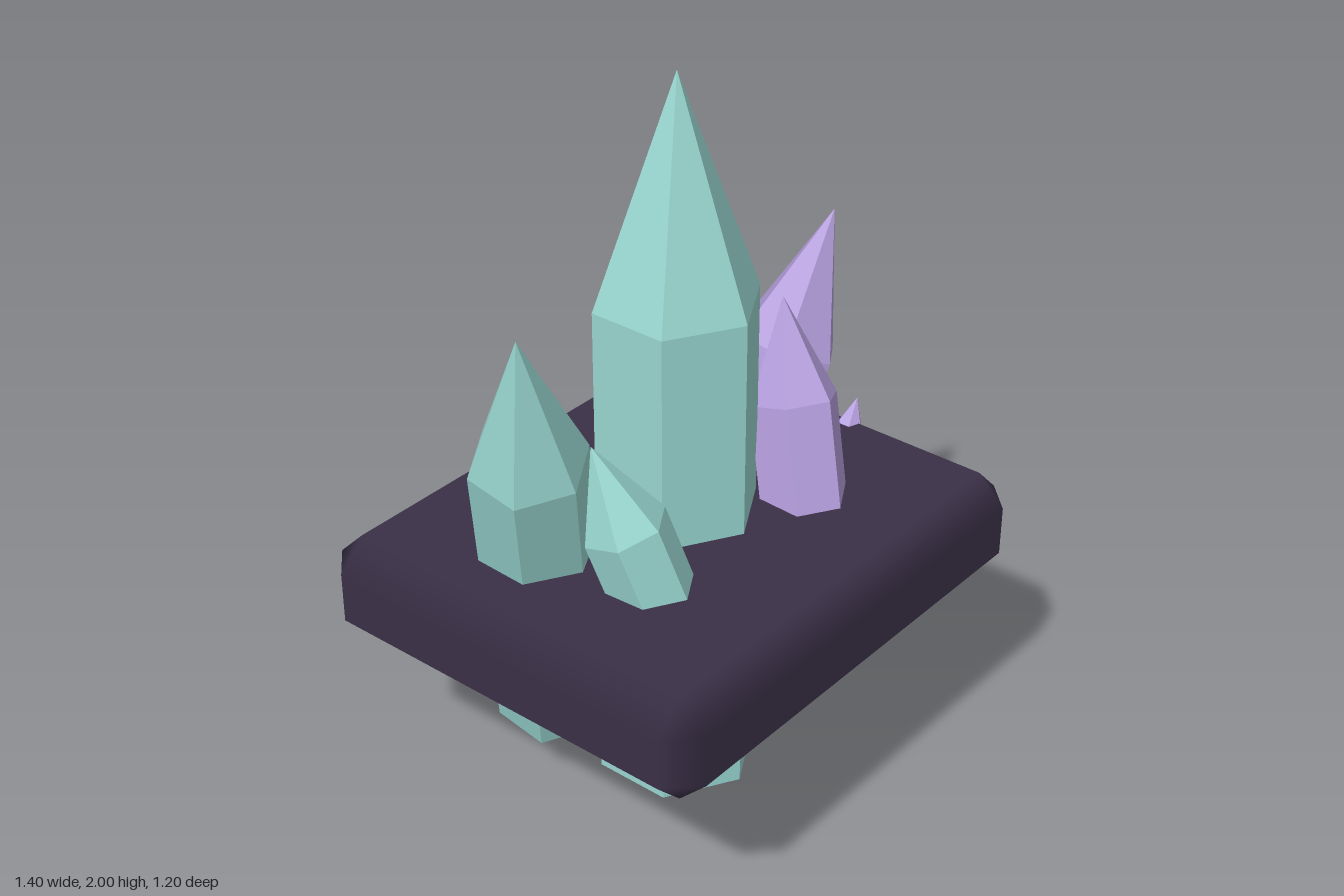
import * as THREE from 'three';
import { ConvexGeometry } from 'three/addons/geometries/ConvexGeometry.js';

function material(name, color) {
  const m = new THREE.MeshStandardMaterial({ color });
  m.name = name;
  return m;
}

// Six-sided crystal from the centre of its foot to its tip; the body takes 70% of the length
function crystal(name, mat, foot, tip, radius) {
  const base = new THREE.Vector3(...foot);
  const axis = new THREE.Vector3(...tip).sub(base);
  const length = axis.length();
  axis.normalize();
  const profile = [[0, 0], [radius, 0], [radius, 0.7 * length], [0, length]];
  const lathe = new THREE.LatheGeometry(profile.map(([x, y]) => new THREE.Vector2(x, y)), 6);
  const geometry = lathe.toNonIndexed();
  geometry.computeVertexNormals(); // flat facets
  const mesh = new THREE.Mesh(geometry, mat);
  mesh.name = name;
  mesh.position.copy(base);
  mesh.rotation.set(Math.atan2(axis.z, axis.y), 0, -Math.asin(axis.x));
  return mesh;
}

// Slab with 45 degree bevels whose shading blends between the flat faces
function bevelledSlab(width, height, depth, bevel) {
  const half = [width / 2, height / 2, depth / 2];
  const points = [];
  for (const sx of [-1, 1]) for (const sy of [-1, 1]) for (const sz of [-1, 1]) {
    const sign = [sx, sy, sz];
    for (let axis = 0; axis < 3; axis++) {
      const p = half.map((h, i) => sign[i] * (i === axis ? h : h - bevel));
      points.push(new THREE.Vector3(...p));
    }
  }
  const geometry = new ConvexGeometry(points);
  const { position, normal } = geometry.attributes;
  for (let i = 0; i < position.count; i++) {
    // each corner lies on exactly one flat face and takes its normal
    const p = [position.getX(i), position.getY(i), position.getZ(i)];
    const n = p.map((v, k) => (Math.abs(v) > half[k] - bevel / 2 ? Math.sign(v) : 0));
    normal.setXYZ(i, ...n);
  }
  return geometry;
}

export function createModel() {
  const group = new THREE.Group();
  group.name = 'crystalCluster';
  const teal = material('paleTeal', 0x99d6d0);
  const purple = material('softPurple', 0xb39ddb);
  const stone = material('darkStone', 0x3a3047);

  // Stone slab
  const slab = new THREE.Mesh(bevelledSlab(1.4, 0.3, 1.2, 0.08), stone);
  slab.name = 'stoneSlab';
  slab.position.y = 0.65;
  group.add(slab);

  // Crystals piercing the slab
  group.add(
    crystal('mainCrystal', teal, [0, 0, 0], [0, 2, 0], 0.22),
    crystal('rightBackCrystal', teal, [-0.22, 0.182, -0.25], [-0.565, 1.52, -0.008], 0.154),
    crystal('rightFrontCrystal', teal, [-0.245, 0.44, 0.28], [-0.4, 1.19, 0.065], 0.11),
    crystal('leftBackCrystal', purple, [0.258, 0.17, -0.187], [0.655, 1.395, -0.003], 0.145),
    crystal('leftFrontCrystal', purple, [0.193, 0.437, 0.32], [0.34, 1.29, 0.07], 0.12),
    crystal('smallCrystal', purple, [0.41, 0.315, 0.1], [0.65, 0.857, 0.1], 0.088)
  );
  return group;
}
